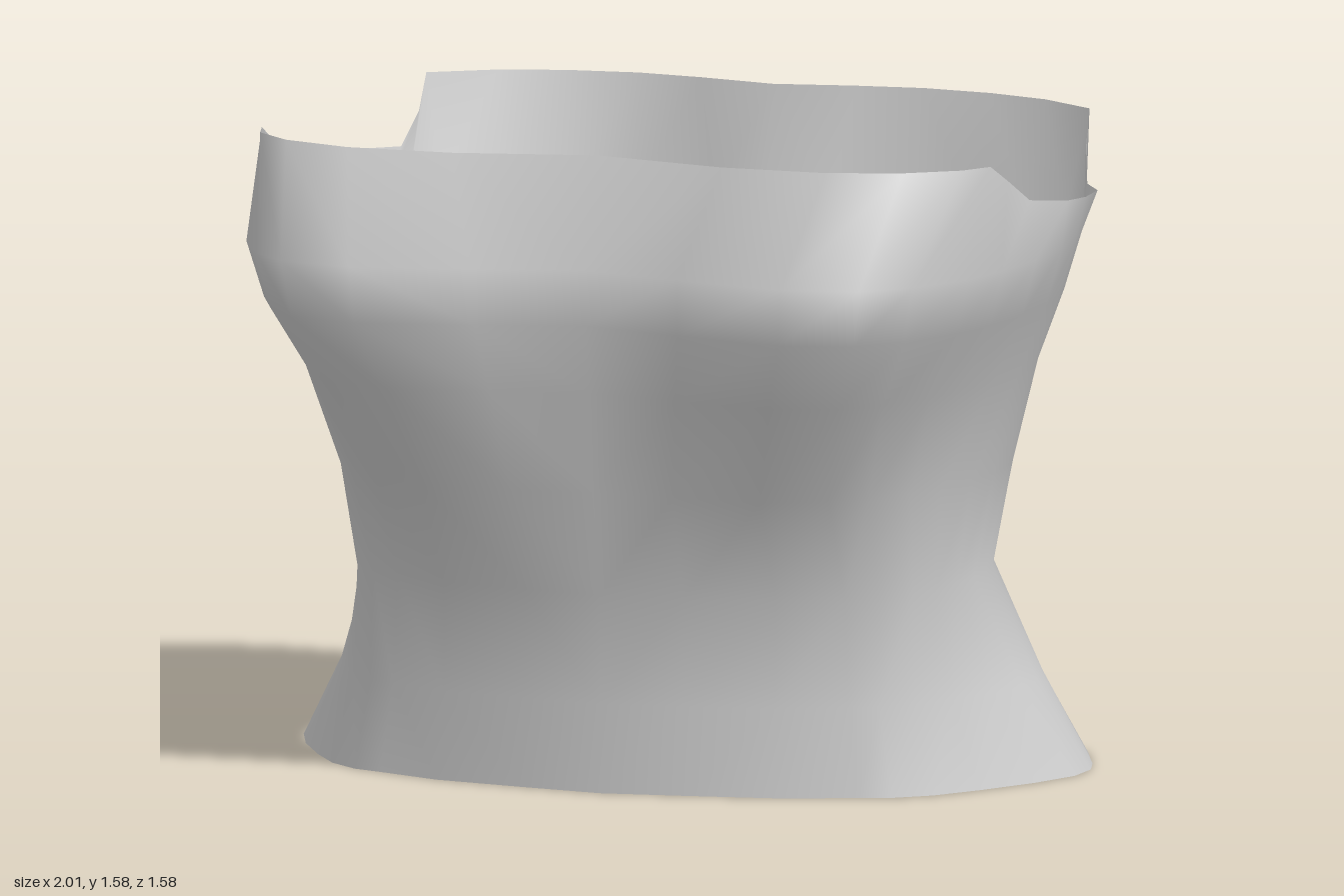
import * as THREE from 'three';

// Half cross-sections [x, z] running from centre front round the left side to centre back.
// y: height of the section; backY: height it eases to at the centre back.
const sections = [
  { y: 0, backY: 0.01, pts: [[0, .53], [.45, .46], [.62, .39], [.78, .29], [1, -.12], [.94, -.4], [.83, -.53], [.36, -.7], [0, -.71]] },
  { y: .22, backY: .17, pts: [[0, .53], [.43, .46], [.59, .38], [.73, .28], [.88, -.08], [.83, -.36], [.72, -.48], [.3, -.645], [0, -.62]] },
  { y: .49, backY: .33, pts: [[0, .535], [.43, .46], [.58, .375], [.72, .275], [.765, -.05], [.715, -.33], [.61, -.45], [.23, -.59], [0, -.53]] },
  { y: .75, backY: .72, pts: [[0, .58], [.44, .6], [.59, .52], [.74, .34], [.815, -.05], [.76, -.35], [.64, -.49], [.28, -.65], [0, -.59]] },
  { y: 1.0, backY: 1.0, pts: [[0, .61], [.5, .7], [.66, .65], [.81, .4], [.88, -.05], [.815, -.38], [.71, -.52], [.32, -.69], [0, -.63]] },
  { y: 1.17, backY: 1.15, pts: [[0, .635], [.55, .78], [.73, .73], [.9, .45], [.95, -.05], [.865, -.43], [.77, -.555], [.35, -.72], [0, -.65]] },
  { y: 1.31, backY: 1.29, pts: [[0, .65], [.56, .79], [.75, .75], [.935, .48], [.99, -.05], [.9, -.465], [.81, -.585], [.36, -.745], [0, -.68]] },
];
const keyColumns = [0, 2, 3, 5, 8, 11, 13, 16, 18];

// Upper hem [x, y, z]: raised over the bust, low under the arm, stepped up at the back panel.
const hem = [
  [0, 1.58, .55], [.35, 1.58, .63], [.62, 1.58, .63], [.8, 1.58, .57], [.91, 1.575, .45], [.945, 1.57, .34],
  [.95, 1.52, .23], [.965, 1.455, .11], [1, 1.43, -.07], [1, 1.42, -.2], [.97, 1.41, -.37], [.89, 1.4, -.52],
  [.865, 1.48, -.58], [.86, 1.57, -.62], [.71, 1.57, -.72], [.55, 1.57, -.77], [.37, 1.57, -.79], [.2, 1.57, -.77], [0, 1.57, -.73],
];
const half = hem.length - 1;
const around = half * 2;

// Sample a section smoothly at every column of the hem.
function sectionRow({ y, backY, pts }) {
  const curve = new THREE.SplineCurve(pts.map(([x, z]) => new THREE.Vector2(x, z)));
  return hem.map((_, c) => {
    let k = 0;
    while (k < keyColumns.length - 2 && c >= keyColumns[k + 1]) k++;
    const f = (c - keyColumns[k]) / (keyColumns[k + 1] - keyColumns[k]);
    const p = curve.getPoint((k + f) / (keyColumns.length - 1));
    const ease = THREE.MathUtils.smoothstep(c, 12, 16);
    return [p.x, THREE.MathUtils.lerp(y, backY, ease), p.y];
  });
}

// Mirror a half row into a closed ring.
function ring(row) {
  const other = row.slice(1, -1).reverse().map(([x, y, z]) => [-x, y, z]);
  return [...row, ...other];
}

function loft(rows) {
  const positions = rows.flatMap(ring).flat();
  const index = [];
  for (let r = 0; r < rows.length - 1; r++) {
    for (let c = 0; c < around; c++) {
      const a = r * around + c;
      const b = r * around + (c + 1) % around;
      const d = a + around;
      const e = b + around;
      // Diagonals mirror across the centre line
      if (c < half) index.push(a, b, e, a, e, d);
      else index.push(a, b, d, b, e, d);
    }
  }
  const geometry = new THREE.BufferGeometry();
  geometry.setAttribute('position', new THREE.Float32BufferAttribute(positions, 3));
  geometry.setIndex(index);
  geometry.computeVertexNormals();
  return geometry;
}

export function createModel() {
  const group = new THREE.Group();
  group.name = 'straplessTop';

  const fabric = new THREE.MeshStandardMaterial({ color: 0xcccccc, side: THREE.DoubleSide });
  fabric.name = 'grey fabric';

  // Open, fitted bodice from the lower hem to the upper hem
  const bodice = new THREE.Mesh(loft([...sections.map(sectionRow), hem]), fabric);
  bodice.name = 'bodice';
  group.add(bodice);
  return group;
}
